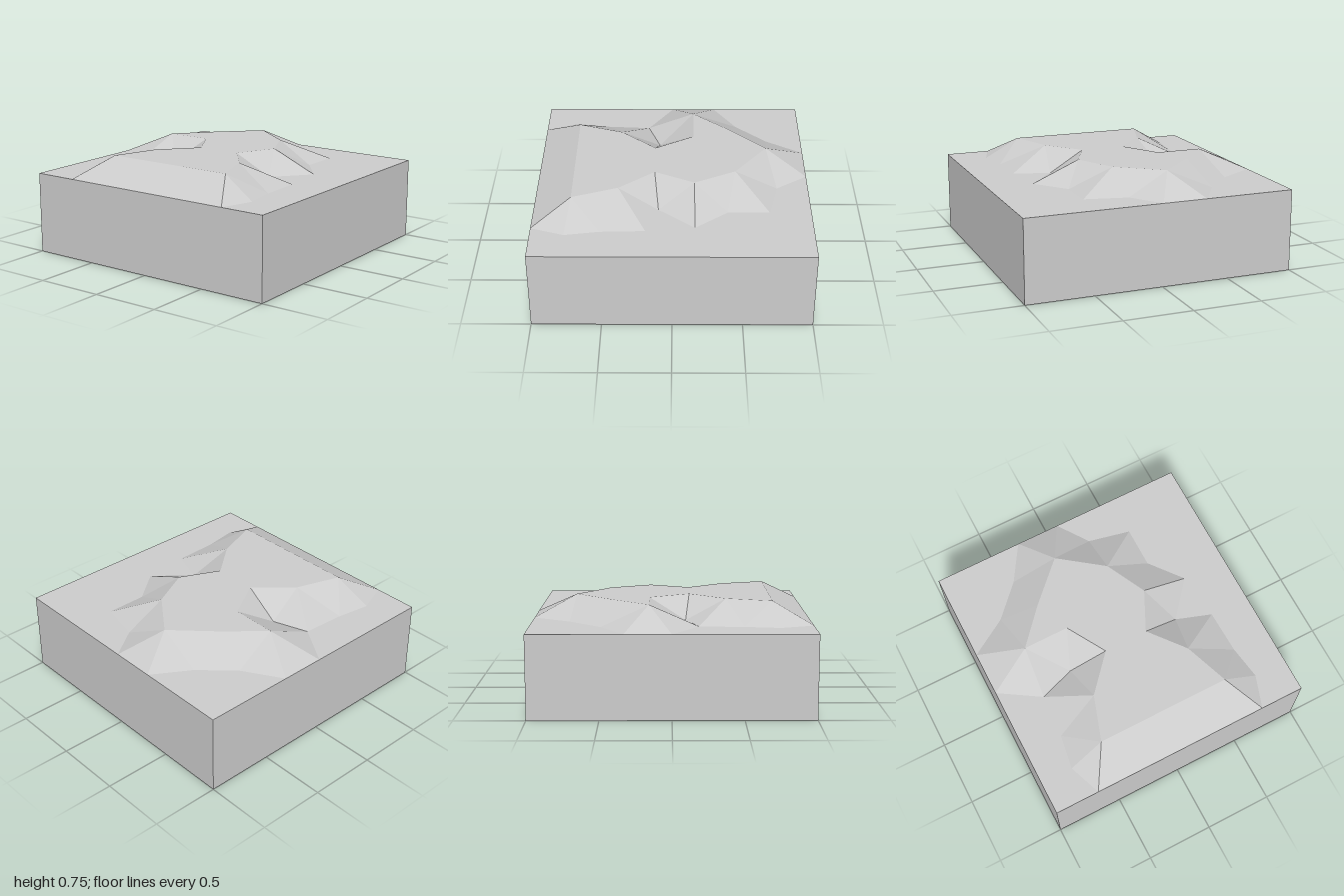
import * as THREE from 'three';

const GROUND = 0.6, TOP = 0.75;

// foot of the slopes, counter-clockwise from above as [x, z]
const foot = [
  [-0.67, 1], [0.67, 1], [0.75, 0.76], [0.71, 0.51], [0.70, 0.19], [0.44, 0.10], [0.66, -0.16],
  [0.47, -0.40], [0.47, -0.70], [0.16, -0.77], [0, -1], [-0.33, -1], [-0.50, -0.73], [-0.72, -0.50],
  [-1, -0.33], [-1, 0], [-0.70, 0.19], [-0.44, 0.10], [-0.70, 0.19], [-0.72, 0.51], [-0.76, 0.76],
];

// rim of the plateau, same direction
const rim = [
  [-0.50, 0.72], [0.50, 0.72], [0.38, 0.39], [0.17, 0.13], [0.31, -0.16], [0.16, -0.46],
  [-0.16, -0.70], [-0.44, -0.42], [-0.67, -0.16], [-0.33, -0.16], [-0.16, 0.13], [-0.39, 0.39],
];

// order in which the strip between the loops advances: f = along the foot, r = along the rim
const steps = 'frffrffrrffrffrfffrfrffffrrrffrff';

function slopeGeometry() {
  const pos = [];
  const low = i => { const [x, z] = foot[i % foot.length]; return [x, GROUND, z]; };
  const high = i => { const [x, z] = rim[i % rim.length]; return [x, TOP, z]; };
  let f = 0, r = 0;
  for (const step of steps) {
    if (step === 'f') pos.push(...low(f), ...low(++f), ...high(r));
    else pos.push(...low(f), ...high(r + 1), ...high(r++));
  }
  const geometry = new THREE.BufferGeometry();
  geometry.setAttribute('position', new THREE.Float32BufferAttribute(pos, 3));
  geometry.computeVertexNormals();
  return geometry;
}

export function createModel() {
  const group = new THREE.Group();
  group.name = 'terrainTile';
  const material = new THREE.MeshStandardMaterial({ color: 0xcccccc, flatShading: true });
  const add = (name, geometry) => {
    const mesh = new THREE.Mesh(geometry, material);
    mesh.name = name;
    group.add(mesh);
  };

  // square slab
  add('base', new THREE.BoxGeometry(2, GROUND, 2).translate(0, GROUND / 2, 0));

  // faceted slopes up to the plateau
  add('slopes', slopeGeometry());

  // flat raised top
  const outline = new THREE.Shape(rim.map(([x, z]) => new THREE.Vector2(x, -z)));
  add('plateau', new THREE.ShapeGeometry(outline).rotateX(-Math.PI / 2).translate(0, TOP, 0));

  return group;
}
